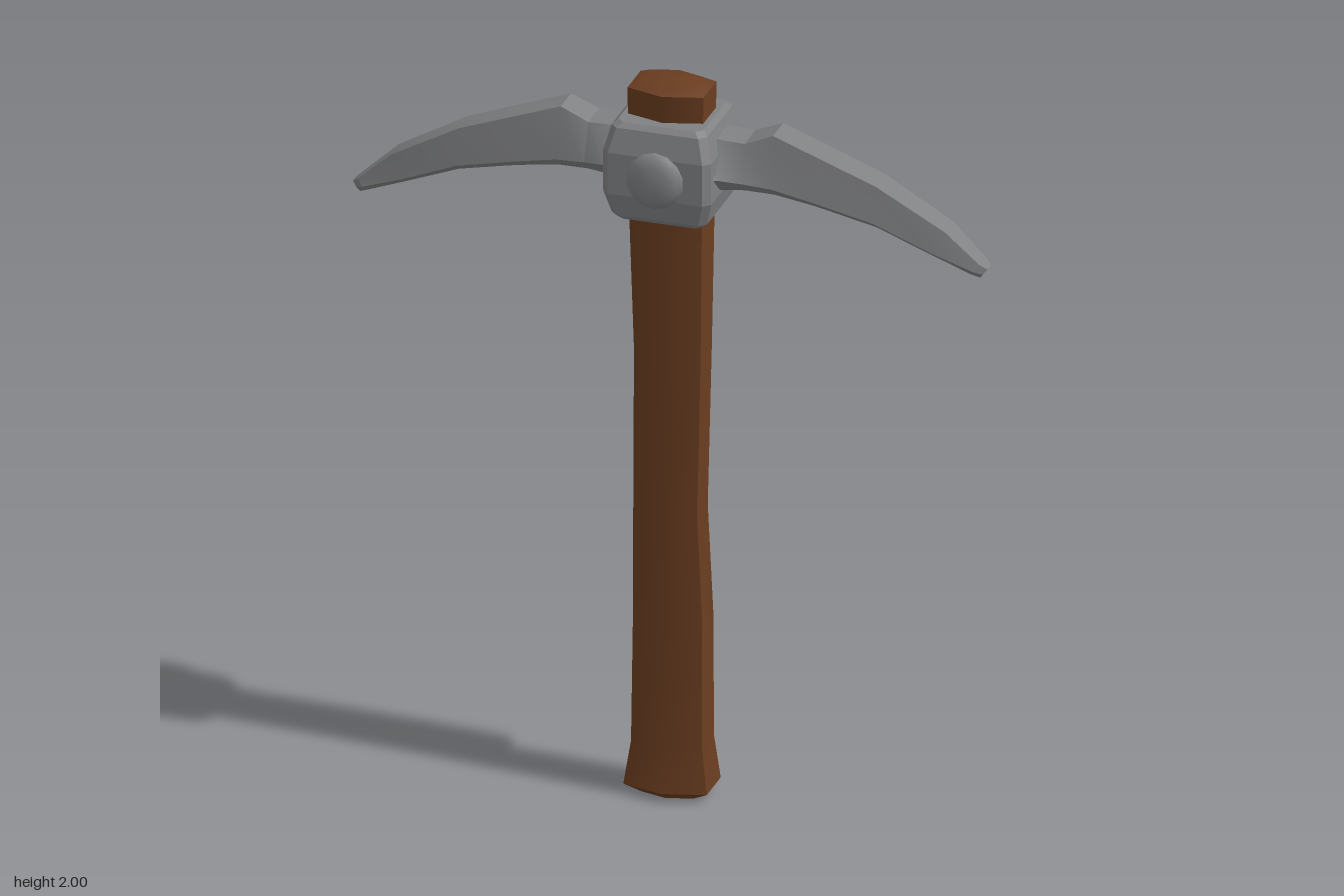
import * as THREE from 'three';
import { toCreasedNormals } from 'three/addons/utils/BufferGeometryUtils.js';

// Skin a list of equal-length rings; each ring runs counter-clockwise around its direction of travel.
function loft(rings, crease) {
  const pos = [];
  const tri = (a, b, c) => pos.push(...a, ...b, ...c);
  const n = rings[0].length;
  const mid = (r) => [0, 1, 2].map((k) => r.reduce((s, p) => s + p[k], 0) / n);
  for (let i = 0; i < rings.length - 1; i++) {
    for (let j = 0; j < n; j++) {
      const k = (j + 1) % n;
      const a = rings[i][j], b = rings[i][k], c = rings[i + 1][k], d = rings[i + 1][j];
      tri(a, b, c);
      tri(a, c, d);
    }
  }
  const first = rings[0], last = rings[rings.length - 1];
  const c0 = mid(first), c1 = mid(last);
  for (let j = 0; j < n; j++) {
    const k = (j + 1) % n;
    tri(c0, first[k], first[j]);
    tri(c1, last[j], last[k]);
  }
  const geo = new THREE.BufferGeometry();
  geo.setAttribute('position', new THREE.Float32BufferAttribute(pos, 3));
  return toCreasedNormals(geo, crease);
}

export function createModel() {
  const model = new THREE.Group();
  model.name = 'pickaxe';
  const wood = new THREE.MeshStandardMaterial({ name: 'brown wood', color: 0x6a3d20 });
  const steel = new THREE.MeshStandardMaterial({ name: 'grey steel', color: 0x808183 });
  const add = (parent, name, geo, mat) => {
    const mesh = new THREE.Mesh(geo, mat);
    mesh.name = name;
    parent.add(mesh);
    return mesh;
  };

  // Handle: six-sided, slightly uneven shaft with a flared foot; [y, left x, right x, half depth]
  const hex = [[1, 0], [0.65, 1], [-0.65, 1], [-1, 0], [-0.65, -1], [0.65, -1]];
  const shaft = [
    [0.005, -0.07, 0.07, 0.055], [0.03, -0.112, 0.112, 0.087], [0.15, -0.094, 0.097, 0.074],
    [0.5, -0.09, 0.096, 0.069], [0.8, -0.09, 0.082, 0.065], [1.25, -0.087, 0.092, 0.07],
    [1.6, -0.097, 0.097, 0.078], [1.985, -0.102, 0.102, 0.081], [2, -0.07, 0.07, 0.058],
  ].map(([y, l, r, d]) => hex.map(([z, x]) => [x > 0 ? r : x < 0 ? l : (l + r) / 2, y, z * d]));
  add(model, 'handle', loft(shaft, 0.65), wood);

  // Head block: chamfered collar, widest across its middle; [y, half width, half depth]
  const head = new THREE.Group();
  head.name = 'head';
  model.add(head);
  const collar = [
    [1.64, 0.115, 0.105], [1.655, 0.128, 0.12], [1.72, 0.145, 0.138],
    [1.835, 0.145, 0.138], [1.9, 0.128, 0.12], [1.912, 0.115, 0.105],
  ].map(([y, w, d]) => {
    const c = 0.018;
    return [[d, -w + c], [d, w - c], [d - c, w], [-d + c, w], [-d, w - c], [-d, -w + c], [-d + c, -w], [d - c, -w]]
      .map(([z, x]) => [x, y, z]);
  });
  add(head, 'collar', loft(collar, 0.2), steel);

  // Blades: [top x, top y, bottom x, bottom y, top half width, ridge half width, bottom half width, ridge position]
  const blade = [
    [0.11, 1.875, 0.11, 1.725, 0.045, 0.125, 0.05, 0.62],
    [0.15, 1.87, 0.15, 1.732, 0.045, 0.1, 0.048, 0.65],
    [0.21, 1.868, 0.21, 1.738, 0.045, 0.08, 0.045, 0.75],
    [0.285, 1.9, 0.29, 1.736, 0.042, 0.07, 0.042, 0.84],
    [0.42, 1.85, 0.4, 1.718, 0.042, 0.065, 0.04, 0.85],
    [0.56, 1.797, 0.56, 1.682, 0.04, 0.057, 0.036, 0.85],
    [0.745, 1.693, 0.7, 1.625, 0.035, 0.048, 0.03, 0.83],
    [0.835, 1.61, 0.81, 1.582, 0.026, 0.036, 0.026, 0.6],
    [0.852, 1.596, 0.832, 1.57, 0.014, 0.02, 0.014, 0.55],
  ].map(([tx, ty, bx, by, t, m, b, f]) => {
    const mx = tx + (bx - tx) * f, my = ty + (by - ty) * f;
    return [[tx, ty, -t], [tx, ty, t], [mx, my, m], [bx, by, b], [bx, by, -b], [mx, my, -m]];
  });
  const bladeGeo = loft(blade, 0.4);
  add(head, 'leftBlade', bladeGeo, steel);
  add(head, 'rightBlade', bladeGeo, steel).rotation.y = Math.PI;

  // Studs: rounded rivets on the front and back of the collar
  const profile = [[0.076, 0.12], [0.076, 0.146], [0.066, 0.157], [0.045, 0.165], [0, 0.167]]
    .map(([r, h]) => new THREE.Vector2(r, h));
  const studGeo = toCreasedNormals(new THREE.LatheGeometry(profile, 14), 0.7);
  for (const side of [1, -1]) {
    const stud = add(head, side > 0 ? 'frontStud' : 'backStud', studGeo, steel);
    stud.rotation.x = side * Math.PI / 2;
    stud.position.y = 1.775;
  }
  return model;
}
